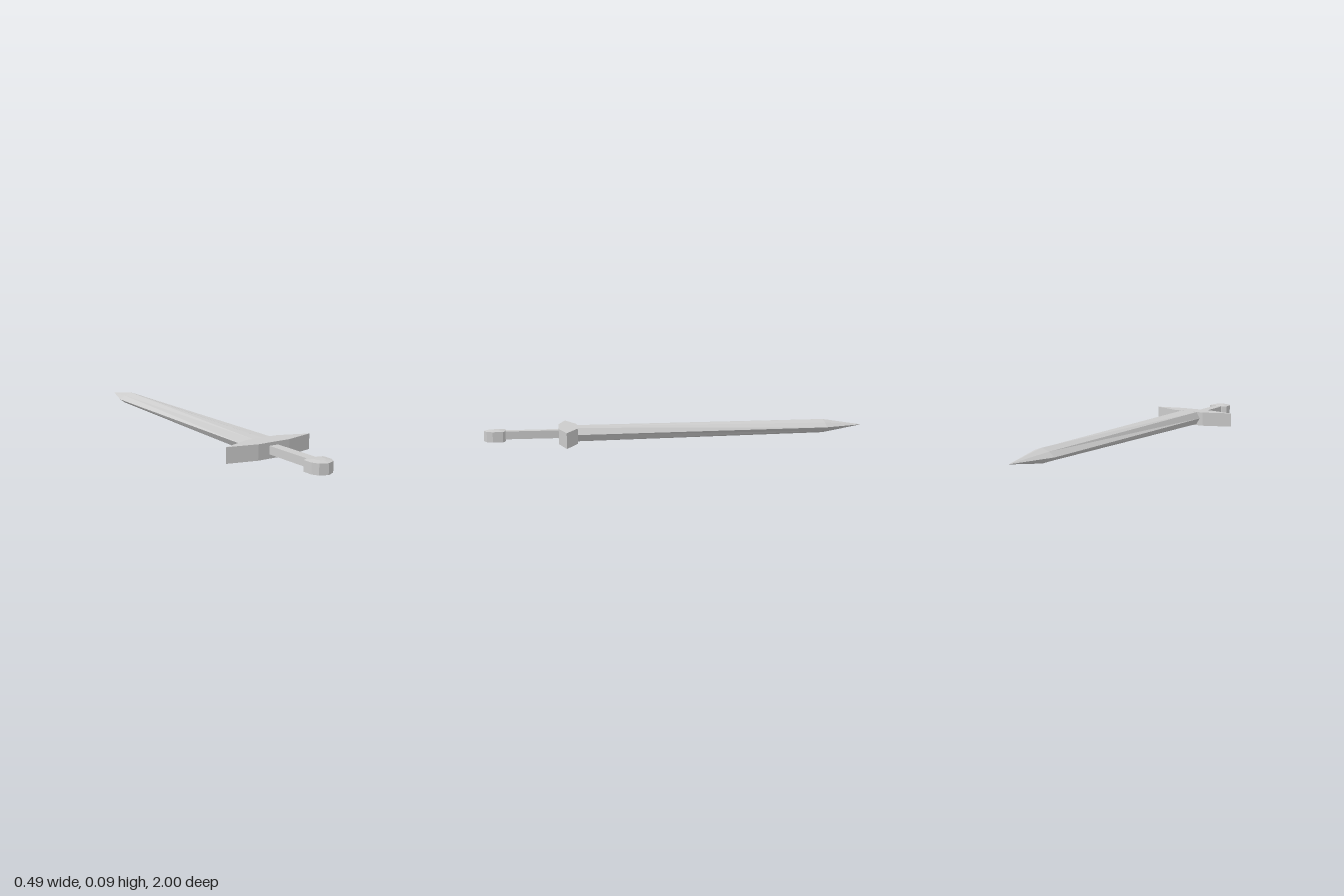
import * as THREE from 'three';

const material = new THREE.MeshStandardMaterial({
  color: 0xcccccc, flatShading: true,
});

// Skin a list of equal-length rings of [x, y, z] points and cap both ends.
// Rings run counter-clockwise when seen from the last ring's side.
function loft(name, rings) {
  const n = rings[0].length;
  const pos = [];
  const tri = (a, b, c) => pos.push(...a, ...b, ...c);
  const centre = (ring) => [0, 1, 2].map((k) => ring.reduce((s, p) => s + p[k], 0) / n);
  const first = rings[0], last = rings[rings.length - 1];
  const c0 = centre(first), c1 = centre(last);
  for (let i = 0; i < n; i++) {
    const j = (i + 1) % n;
    for (let r = 0; r + 1 < rings.length; r++) {
      const a = rings[r], b = rings[r + 1];
      tri(a[i], a[j], b[j]);
      tri(a[i], b[j], b[i]);
    }
    tri(c0, first[j], first[i]);
    tri(c1, last[i], last[j]);
  }
  const geometry = new THREE.BufferGeometry();
  geometry.setAttribute('position', new THREE.Float32BufferAttribute(pos, 3));
  geometry.computeVertexNormals();
  const mesh = new THREE.Mesh(geometry, material);
  mesh.name = name;
  return mesh;
}

// Eight-sided blade section: cutting edges, face corners and central ridges
function bladeSection(z, cx, cy, edge, corner, cornerY, ridgeY) {
  return [
    [edge, 0], [corner, cornerY], [0, ridgeY], [-corner, cornerY],
    [-edge, 0], [-corner, -cornerY], [0, -ridgeY], [corner, -cornerY],
  ].map(([x, y]) => [cx + x, cy + y, z]);
}

// Horizontal ring from an [x, z] outline, scaled about a centre
function flatRing(outline, y, scale = 1, cz = 0) {
  return outline.map(([x, z]) => [x * scale, y, cz + (z - cz) * scale]);
}

export function createModel() {
  const group = new THREE.Group();
  group.name = 'sword';

  // Blade: from the point, over the shoulder, down to the guard
  group.add(loft('blade', [
    bladeSection(-1, 0.007, 0.054, 0.0005, 0.0003, 0.0003, 0.0005),
    bladeSection(-0.785, 0.008, 0.052, 0.071, 0.04, 0.022, 0.036),
    bladeSection(0.55, 0, 0.041, 0.072, 0.051, 0.035, 0.036),
  ]));

  // Guard: tapered plan outline with upright faces
  const guard = [
    [-0.243, 0.588], [-0.09, 0.624], [0.09, 0.624],
    [0.243, 0.588], [0.09, 0.53], [-0.09, 0.53],
  ];
  group.add(loft('guard', [flatRing(guard, 0), flatRing(guard, 0.077)]));

  // Grip
  const grip = new THREE.Mesh(new THREE.BoxGeometry(0.05, 0.04, 0.3), material);
  grip.name = 'grip';
  grip.position.set(-0.002, 0.041, 0.76);
  group.add(grip);

  // Pommel: rounded end with slightly domed top and bottom
  const pommel = [
    [-0.059, 0.9], [-0.058, 0.95], [-0.042, 0.98], [-0.003, 0.997], [0.038, 0.98],
    [0.053, 0.95], [0.053, 0.9], [0.03, 0.89], [-0.035, 0.89],
  ];
  group.add(loft('pommel', [
    flatRing(pommel, 0.006, 0.4, 0.94),
    flatRing(pommel, 0.011),
    flatRing(pommel, 0.063),
    flatRing(pommel, 0.068, 0.4, 0.94),
  ]));

  return group;
}
